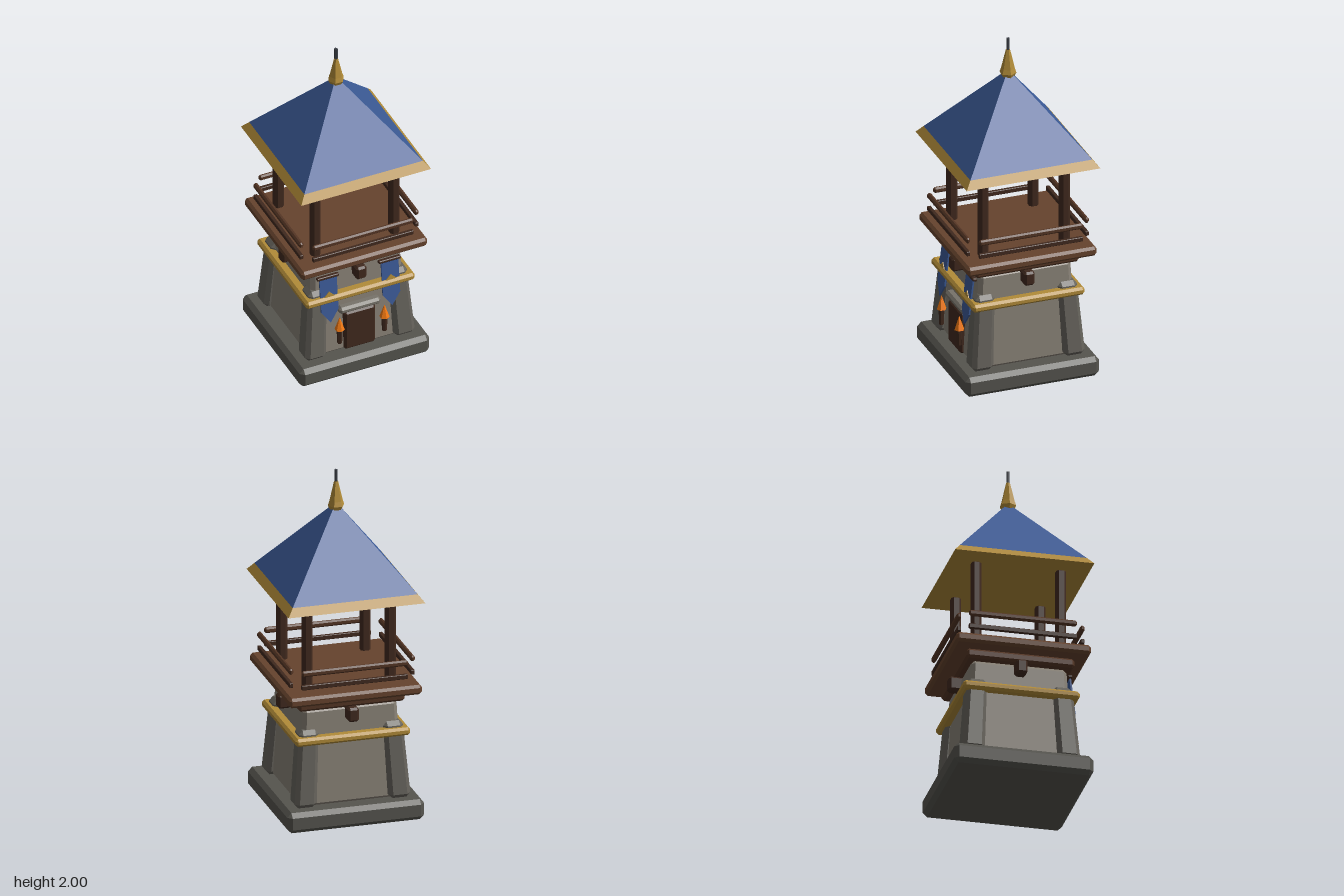
import * as THREE from 'three';
import { ConvexGeometry } from 'three/addons/geometries/ConvexGeometry.js';

const mat = (color) => new THREE.MeshStandardMaterial({ color, flatShading: true });
const M = {
  base: mat(0x55544e), buttress: mat(0x66635c), wall: mat(0x888176), lintel: mat(0x77736a),
  plank: mat(0x66432d), rail: mat(0x543524), dark: mat(0x40291e), gold: mat(0xb18b38),
  blue: mat(0x3b5a96), flame: mat(0xf47a12), iron: mat(0x3b3f46),
};

// Box with chamfered edges; its top can be narrowed and shifted relative to its bottom.
function chamferBox(w, h, d, c, { taper = 1, shiftX = 0, shiftZ = 0 } = {}) {
  const pts = [];
  for (const sx of [-1, 1]) for (const sy of [-1, 1]) for (const sz of [-1, 1])
    for (let k = 0; k < 3; k++) {
      const x = sx * (w / 2 - (k === 0 ? 0 : c));
      const y = sy * (h / 2 - (k === 1 ? 0 : c));
      const z = sz * (d / 2 - (k === 2 ? 0 : c));
      const t = y / h + 0.5;
      const s = 1 + (taper - 1) * t;
      pts.push(new THREE.Vector3(x * s + shiftX * t, y, z * s + shiftZ * t));
    }
  return new ConvexGeometry(pts);
}

export function createModel() {
  const root = new THREE.Group();
  root.name = 'watchtower';

  const add = (name, geo, material, x = 0, y = 0, z = 0, parent = root) => {
    const m = new THREE.Mesh(geo, material);
    m.name = name;
    m.position.set(x, y, z);
    parent.add(m);
    return m;
  };
  // Chamfered box placed by its bottom and top heights
  const block = (name, material, w, y0, y1, d, c, x = 0, z = 0, opt) =>
    add(name, chamferBox(w, y1 - y0, d, c, opt), material, x, (y0 + y1) / 2, z);

  // Stone base and tapering walls
  block('base', M.base, 0.8, 0, 0.12, 0.8, 0.025);
  block('walls', M.wall, 0.61, 0.11, 0.695, 0.61, 0.025, 0, 0, { taper: 0.9 });
  block('goldBand', M.gold, 0.67, 0.49, 0.537, 0.67, 0.014);

  // Leaning corner buttresses and platform posts
  for (const sx of [-1, 1]) for (const sz of [-1, 1]) {
    block('buttress', M.buttress, 0.13, 0.12, 0.57, 0.13, 0.024, sx * 0.275, sz * 0.275,
      { taper: 0.88, shiftX: -sx * 0.03, shiftZ: -sz * 0.03 });
    block('post', M.dark, 0.056, 0.79, 1.31, 0.056, 0.013, sx * 0.243, sz * 0.243);
  }

  // Platform
  block('platformUnderlay', M.rail, 0.62, 0.69, 0.745, 0.62, 0.014);
  block('platformDeck', M.plank, 0.775, 0.748, 0.805, 0.775, 0.015);

  // One support beam and two rails on each side
  for (let i = 0; i < 4; i++) {
    const side = new THREE.Group();
    side.name = 'platformSide';
    side.rotation.y = i * Math.PI / 2;
    root.add(side);
    add('supportBeam', chamferBox(0.064, 0.084, 0.12, 0.012), M.dark, 0, 0.652, 0.285, side);
    add('upperRail', chamferBox(0.62, 0.034, 0.026, 0.009), M.rail, 0, 0.938, 0.355, side);
    add('lowerRail', chamferBox(0.62, 0.027, 0.022, 0.003), M.dark, 0, 0.857, 0.355, side);
  }

  // Door and lintel
  block('door', M.dark, 0.19, 0.125, 0.385, 0.12, 0.012, 0, 0.263);
  block('lintel', M.lintel, 0.255, 0.385, 0.428, 0.13, 0.014, 0, 0.265);

  // Pointed banner cloth, hung from its top edge
  const cloth = new THREE.Shape();
  cloth.moveTo(-0.053, 0);
  cloth.lineTo(-0.053, -0.22);
  cloth.lineTo(0, -0.298);
  cloth.lineTo(0.053, -0.22);
  cloth.lineTo(0.053, 0);
  const clothGeo = new THREE.ExtrudeGeometry(cloth, { depth: 0.01, bevelEnabled: false });
  const emblem = new THREE.Shape();
  emblem.moveTo(0, 0.034);
  emblem.lineTo(-0.034, 0);
  emblem.lineTo(0, -0.034);
  emblem.lineTo(0.034, 0);
  const emblemGeo = new THREE.ExtrudeGeometry(emblem, { depth: 0.006, bevelEnabled: false });

  for (const s of [-1, 1]) {
    // Banners follow the lean of the wall
    const banner = new THREE.Group();
    banner.name = 'banner';
    banner.position.set(s * 0.19, 0.658, 0.293);
    banner.rotation.x = -0.12;
    root.add(banner);
    add('bannerCloth', clothGeo, M.blue, 0, 0, 0, banner);
    add('bannerEmblem', emblemGeo, M.gold, 0, -0.127, 0.009, banner);
    add('bannerRod', chamferBox(0.135, 0.018, 0.026, 0.004), M.dark, 0, 0, 0.003, banner);

    // Torches beside the door
    add('torchHandle', new THREE.CylinderGeometry(0.018, 0.014, 0.1, 6), M.dark, s * 0.138, 0.26, 0.345);
    add('torchFlame', new THREE.ConeGeometry(0.029, 0.085, 6), M.flame, s * 0.138, 0.348, 0.345);
  }

  // Square roof with gold eave
  const R = Math.SQRT2;
  const eave = new THREE.CylinderGeometry(0.365 * R, 0.4 * R, 0.045, 4);
  add('roofEave', eave.rotateY(Math.PI / 4), M.gold, 0, 1.3225, 0);
  const pyramid = new THREE.ConeGeometry(0.365 * R, 0.46, 4);
  add('roof', pyramid.rotateY(Math.PI / 4), M.blue, 0, 1.575, 0);

  // Six-sided finial and iron spike
  const profile = [[0, 1.765], [0.036, 1.765], [0.048, 1.788], [0.039, 1.815], [0.012, 1.93], [0, 1.93]]
    .map(([r, y]) => new THREE.Vector2(r, y));
  const finial = new THREE.LatheGeometry(profile, 6);
  add('finial', finial.rotateY(Math.PI / 6), M.gold);
  add('spike', new THREE.CylinderGeometry(0.01, 0.01, 0.1, 6), M.iron, 0, 1.95, 0);

  return root;
}
